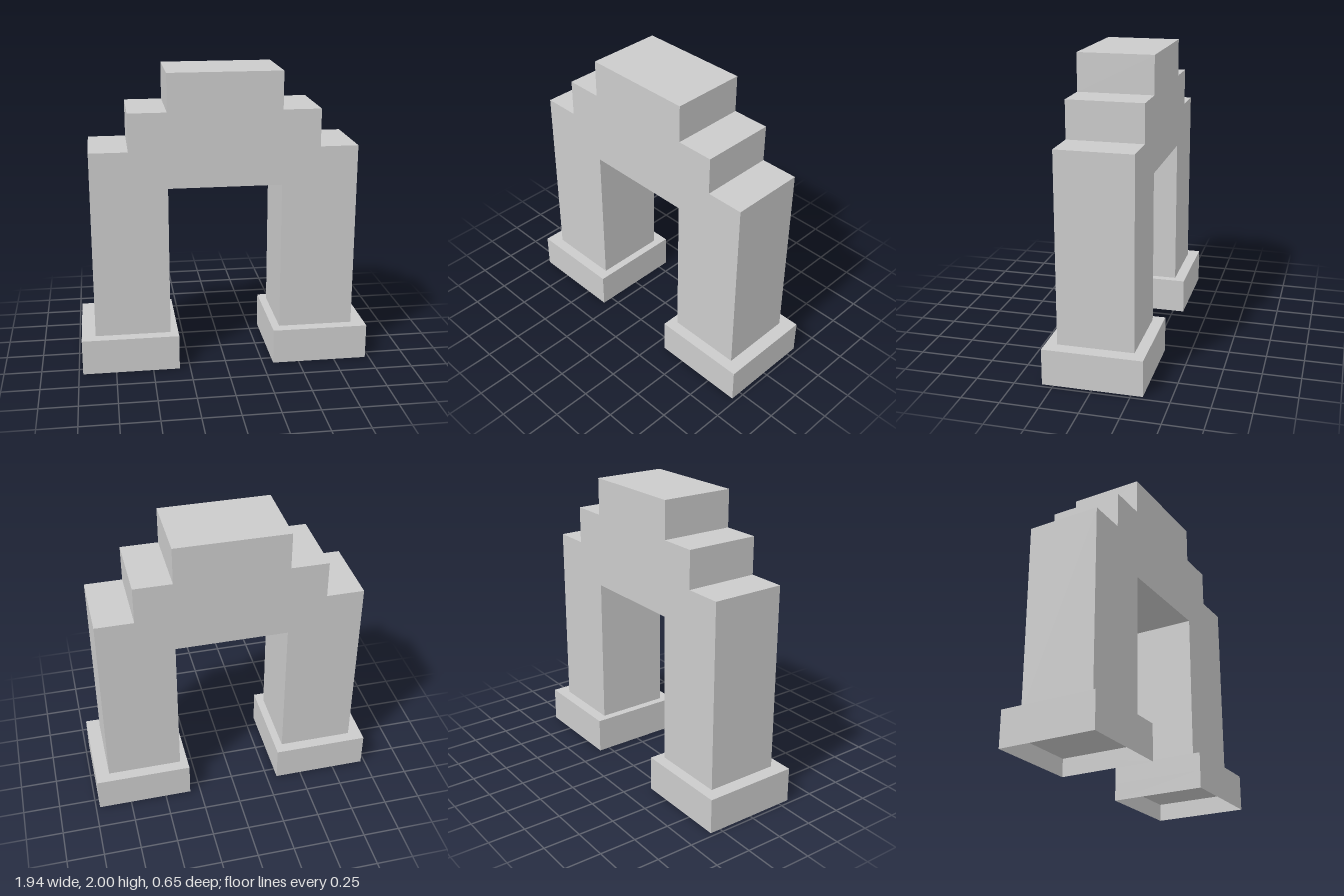
import * as THREE from 'three';

const grey = new THREE.MeshStandardMaterial({ color: 0xcccccc, flatShading: true });
const greyThin = new THREE.MeshStandardMaterial({ color: 0xcccccc, flatShading: true, side: THREE.DoubleSide });

const DEPTH = 0.5;
const FOOT = { x: 0.6475, width: 0.65, height: 0.24, recess: 0.12 };

// Stepped arch: half outline from the opening outwards, mirrored to the other side
function makeArch() {
  const half = [
    [0.375, 1.25], [0.375, FOOT.height], [0.88, FOOT.height], [0.88, 1.5],
    [0.627, 1.5], [0.627, 1.75], [0.375, 1.75], [0.375, 2],
  ];
  const mirrored = half.map(([x, y]) => [-x, y]).reverse();
  const outline = [...half, ...mirrored].map(([x, y]) => new THREE.Vector2(x, y));
  const geometry = new THREE.ExtrudeGeometry(new THREE.Shape(outline), { depth: DEPTH, bevelEnabled: false });
  geometry.translate(0, 0, -DEPTH / 2);
  const arch = new THREE.Mesh(geometry, grey);
  arch.name = 'steppedArch';
  return arch;
}

// Foot: a solid slab over a thin-walled skirt that is open underneath
function makeFoot(name, x) {
  const foot = new THREE.Group();
  foot.name = name;
  foot.position.x = x;

  const slabHeight = FOOT.height - FOOT.recess;
  const slab = new THREE.Mesh(new THREE.BoxGeometry(FOOT.width, slabHeight, FOOT.width), grey);
  slab.name = 'footSlab';
  slab.position.y = FOOT.recess + slabHeight / 2;
  foot.add(slab);

  for (let i = 0; i < 4; i++) {
    const geometry = new THREE.PlaneGeometry(FOOT.width, FOOT.recess);
    geometry.translate(0, FOOT.recess / 2, FOOT.width / 2);
    const wall = new THREE.Mesh(geometry, greyThin);
    wall.name = 'footSkirt';
    wall.rotation.y = i * Math.PI / 2;
    foot.add(wall);
  }
  return foot;
}

export function createModel() {
  const model = new THREE.Group();
  model.name = 'steppedArchway';
  model.add(makeArch(), makeFoot('leftFoot', FOOT.x), makeFoot('rightFoot', -FOOT.x));
  return model;
}
